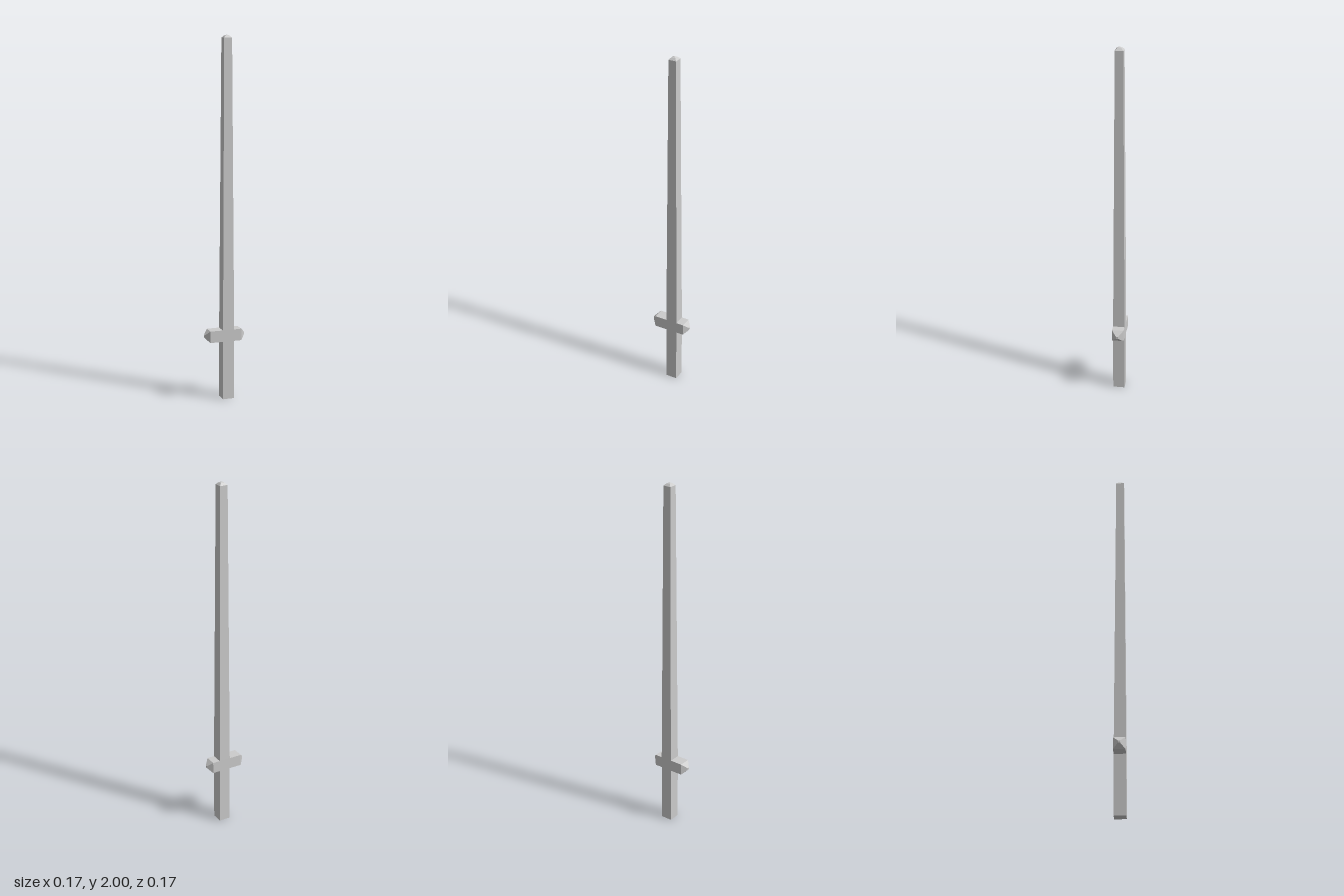
import * as THREE from 'three';

const material = new THREE.MeshStandardMaterial({ color: 0xcccccc, flatShading: true });

// Square tapered bar between y0 and y1; radii are half diagonals
function squareBar(name, r0, r1, y0, y1, open = false) {
  const geometry = new THREE.CylinderGeometry(r1, r0, y1 - y0, 4, 1, open);
  geometry.rotateY(Math.PI / 4).translate(0, (y0 + y1) / 2, 0);
  const mesh = new THREE.Mesh(geometry, material);
  mesh.name = name;
  return mesh;
}

export function createModel() {
  const model = new THREE.Group();
  model.name = 'sword';

  // The guard runs along the diagonal between +x and -z
  const body = new THREE.Group();
  body.name = 'body';
  body.rotation.y = Math.PI / 4;
  model.add(body);

  const R = 0.046, guardLow = 0.33, guardHigh = 0.395;

  // Handle, tapered blade and blunt point, a little off the guard's middle
  const shaft = new THREE.Group();
  shaft.name = 'shaft';
  shaft.position.x = 0.0148;
  shaft.add(
    squareBar('handle', R, R, 0, guardLow),
    squareBar('blade', R, 0.0315, guardHigh, 1.985, true),
    squareBar('pointShoulder', 0.0315, 0.016, 1.985, 1.996, true),
    squareBar('point', 0.016, 0.004, 1.996, 2),
  );
  body.add(shaft);

  // Guard bar with a blunt pyramid at each end, flush with the handle
  const guard = new THREE.Group();
  guard.name = 'guard';
  guard.position.y = (guardLow + guardHigh) / 2;
  const bar = new THREE.Mesh(
    new THREE.BoxGeometry(0.18, guardHigh - guardLow, R * Math.SQRT2), material);
  bar.name = 'guardBar';
  guard.add(bar);
  for (const side of [-1, 1]) {
    const tip = squareBar('guardTip', R, 0.008, 0.09, 0.116);
    tip.rotation.z = -side * Math.PI / 2;
    guard.add(tip);
  }
  body.add(guard);

  return model;
}
